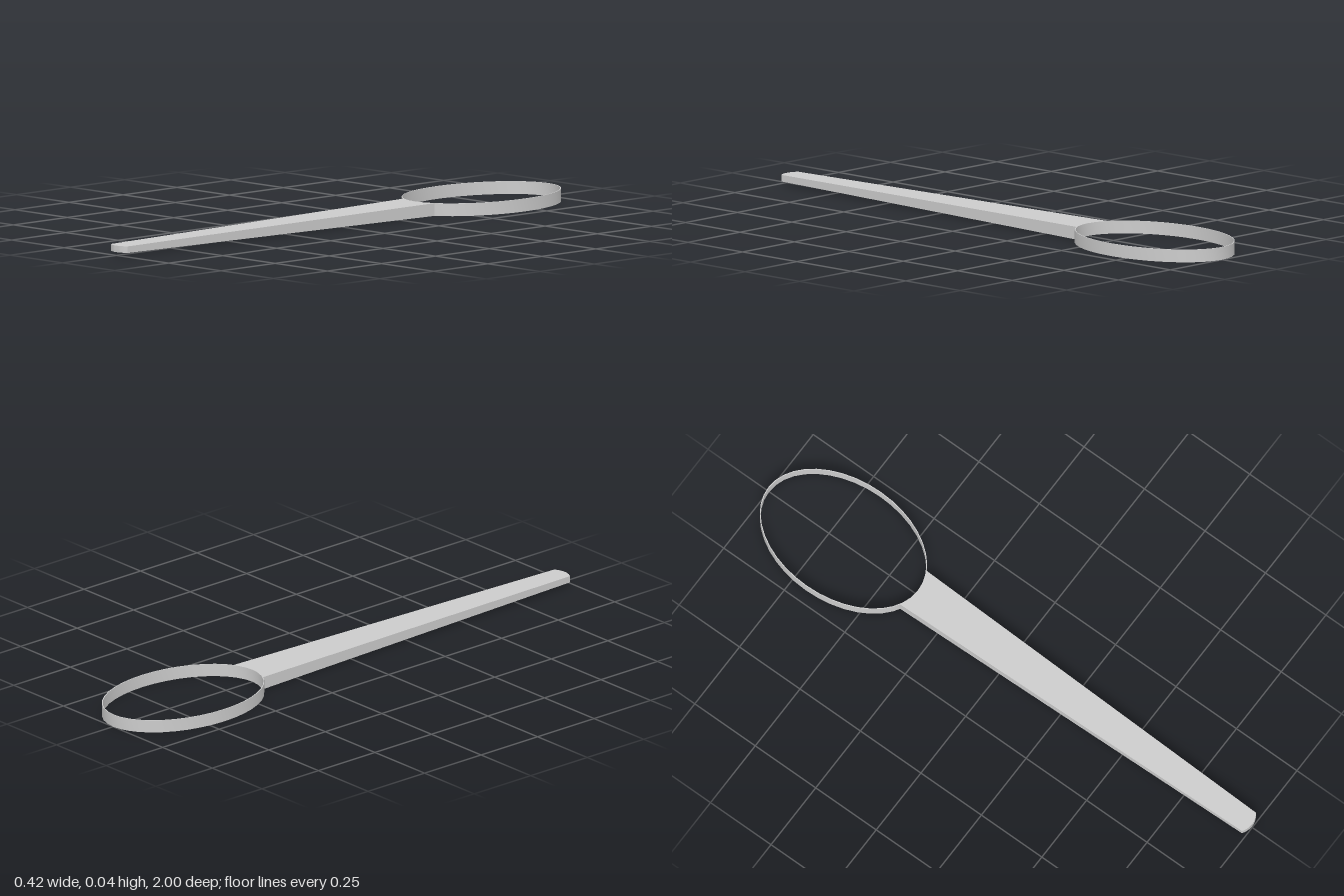
import * as THREE from 'three';
import { toCreasedNormals } from 'three/addons/utils/BufferGeometryUtils.js';

const HEIGHT = 0.043;
const RING = { z: -0.69, rx: 0.208, rz: 0.31, wall: 0.003 };
const BACK_Z = -0.39;

// Extrude a plan outline (shape x = x, shape y = -z) upward from y = 0
function extrudeUp(shape, curveSegments) {
  const geometry = new THREE.ExtrudeGeometry(shape, { depth: HEIGHT, bevelEnabled: false, curveSegments });
  return geometry.rotateX(-Math.PI / 2);
}

function finish(name, geometry) {
  const material = new THREE.MeshStandardMaterial({ color: 0xcccccc, side: THREE.DoubleSide });
  const mesh = new THREE.Mesh(toCreasedNormals(geometry, THREE.MathUtils.degToRad(25)), material);
  mesh.name = name;
  return mesh;
}

// Thin upright oval band
function createRing() {
  const { z, rx, rz, wall } = RING;
  const shape = new THREE.Shape().absellipse(0, -z, rx, rz, 0, Math.PI * 2);
  shape.holes.push(new THREE.Path().absellipse(0, -z, rx - wall, rz - wall, 0, Math.PI * 2, true));
  return finish('ovalRing', extrudeUp(shape, 20));
}

// Tapered bar: its back end hugs the ring, its front end is slightly bowed
function createHandle() {
  const backHalf = 0.074, frontHalf = 0.04, cornerZ = 0.987;
  const points = [];
  for (let i = 0; i <= 10; i++) {
    const t = i / 5 - 1;
    points.push(new THREE.Vector2(t * frontHalf, -(1 - (1 - cornerZ) * t * t)));
  }
  for (let i = 0; i <= 10; i++) {
    const x = (1 - i / 5) * backHalf;
    const reach = (RING.rz - RING.wall / 2) * Math.sqrt(1 - (x / RING.rx) ** 2);
    points.push(new THREE.Vector2(x, -(RING.z + reach)));
  }
  const geometry = extrudeUp(new THREE.Shape(points), 1);

  // Thin the bar from both faces towards the front end
  const pos = geometry.attributes.position;
  for (let i = 0; i < pos.count; i++) {
    const t = Math.max(0, (pos.getZ(i) - BACK_Z) / (1 - BACK_Z));
    pos.setY(i, THREE.MathUtils.lerp(pos.getY(i), pos.getY(i) > HEIGHT / 2 ? 0.033 : 0.011, t));
  }
  return finish('handle', geometry);
}

export function createModel() {
  const group = new THREE.Group();
  group.name = 'ringWithHandle';
  group.add(createRing(), createHandle());
  return group;
}
